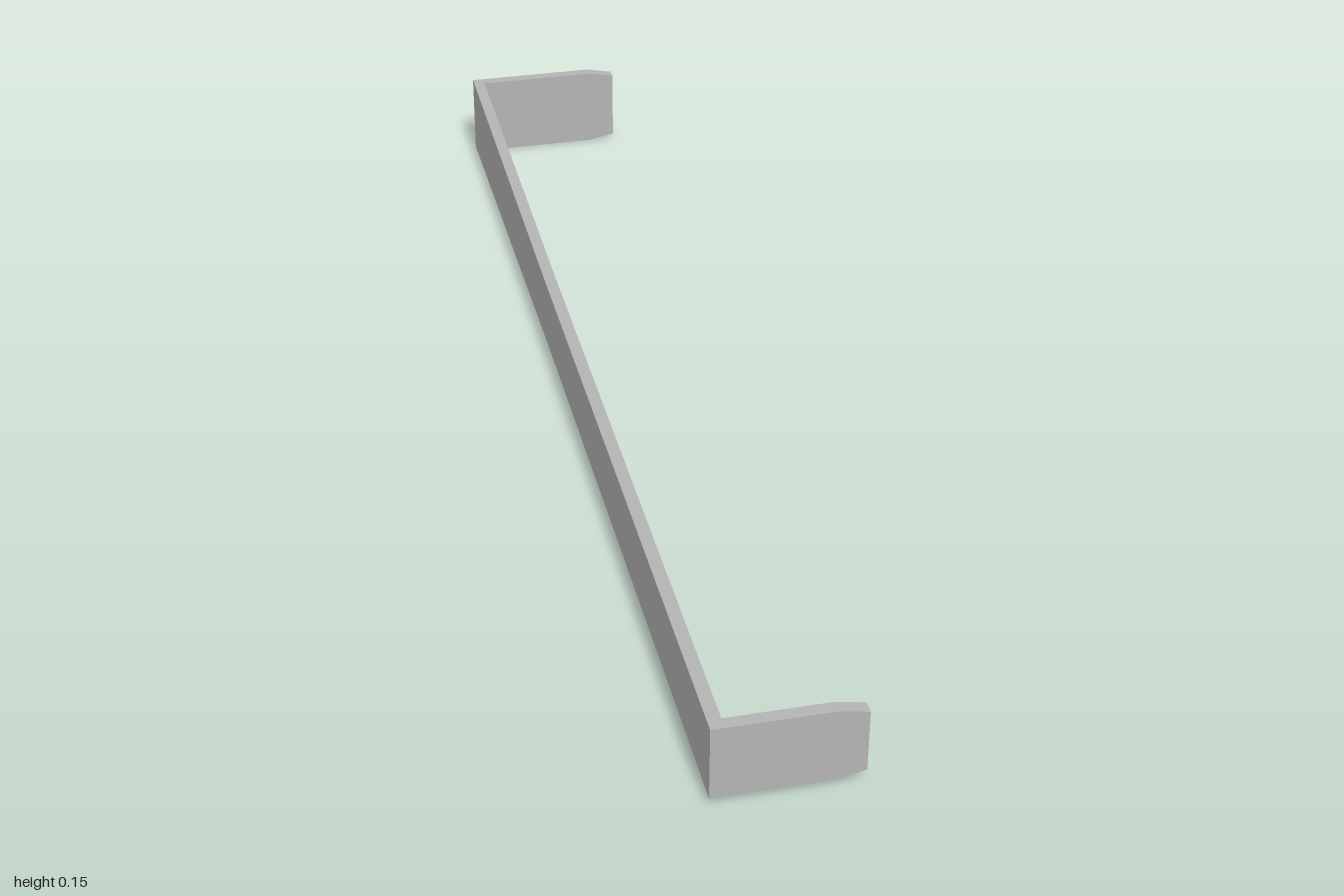
import * as THREE from 'three';

const T = 0.02; // sheet thickness
const MID = 0.074; // height of the centre line
const X0 = -0.14;

// Flat plate, symmetric about the centre line, from [position, half height] pairs
function plate(name, profile, material) {
  const upper = profile.map(([u, h]) => new THREE.Vector2(u, MID + h));
  const lower = profile.map(([u, h]) => new THREE.Vector2(u, MID - h)).reverse();
  const shape = new THREE.Shape([...lower, ...upper]);
  const geometry = new THREE.ExtrudeGeometry(shape, { depth: T, bevelEnabled: false });
  const mesh = new THREE.Mesh(geometry, material);
  mesh.name = name;
  return mesh;
}

export function createModel() {
  const group = new THREE.Group();
  group.name = 'bracket';
  const steel = new THREE.MeshStandardMaterial({ color: 0xb4b4b4 });
  steel.name = 'grey steel';

  // Long bar, widening towards the back
  const bar = plate('longBar', [[-1, 0.074], [-0.2, 0.0595], [1, 0.0595]], steel);
  bar.geometry.rotateY(-Math.PI / 2);
  bar.geometry.translate(X0 + T, 0, 0);

  // End tabs with tapered tips
  const front = plate('frontTab', [[X0 + T, 0.0595], [0.035, 0.0595], [0.08, 0.0505]], steel);
  front.geometry.translate(0, 0, 1 - T);
  const back = plate('backTab', [[X0 + T, 0.074], [0.093, 0.074], [0.14, 0.0645]], steel);
  back.geometry.translate(0, 0, -1);

  group.add(bar, front, back);
  return group;
}
